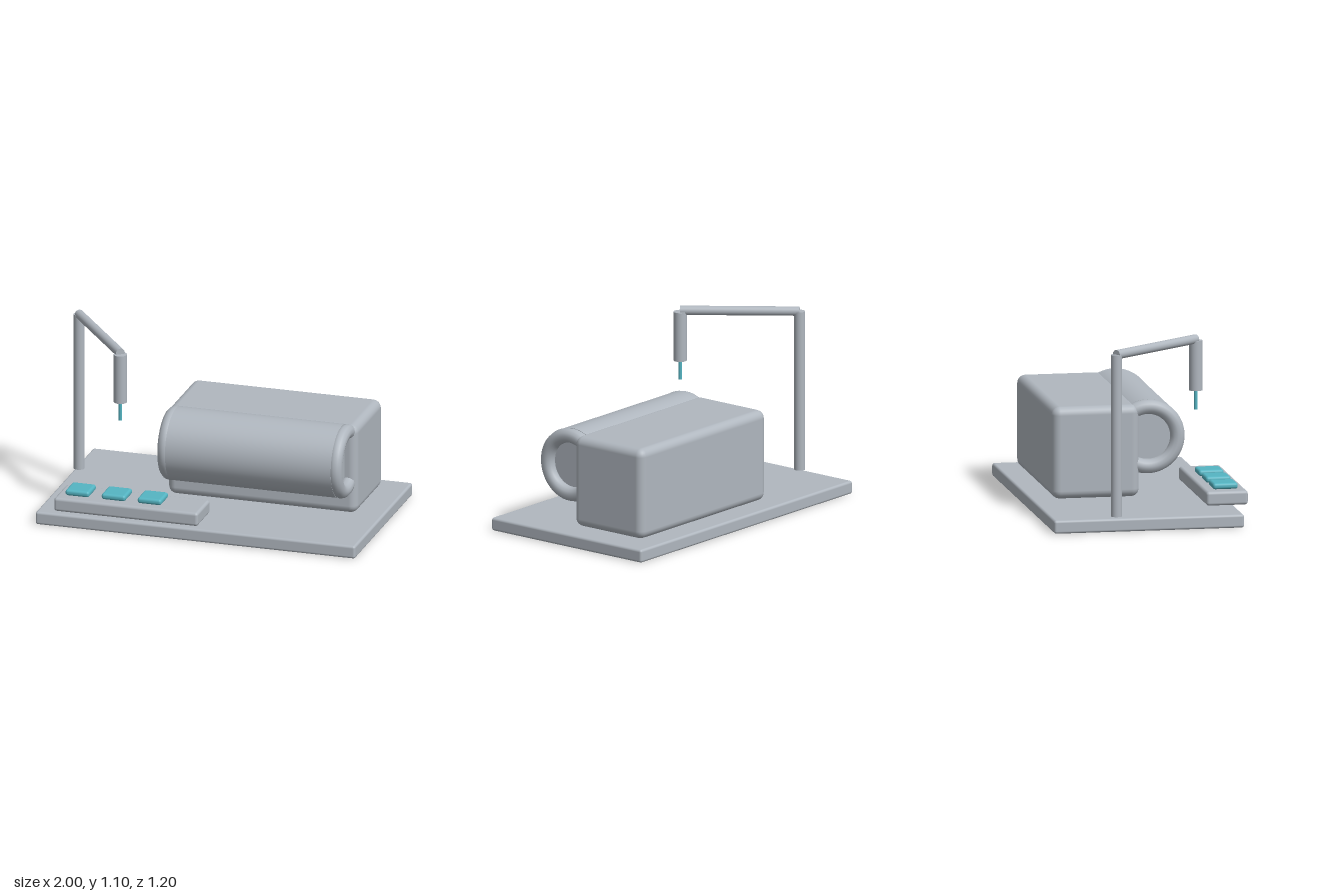
import * as THREE from 'three';
import { RoundedBoxGeometry } from 'three/addons/geometries/RoundedBoxGeometry.js';

export function createModel() {
  const model = new THREE.Group();
  model.name = 'benchMachine';
  const grey = new THREE.MeshStandardMaterial({ color: 0xb0b7bf });
  grey.name = 'casing grey';
  const teal = new THREE.MeshStandardMaterial({ color: 0x55b5c3 });
  teal.name = 'accent teal';

  const add = (name, geometry, material, position = [0, 0, 0]) => {
    const mesh = new THREE.Mesh(geometry, material);
    mesh.name = name;
    mesh.position.set(...position);
    model.add(mesh);
    return mesh;
  };

  // Rounded box given by its lower and upper corners
  const box = (name, lo, hi, radius, material = grey) => {
    const size = hi.map((v, i) => v - lo[i]);
    return add(name, new RoundedBoxGeometry(...size, 3, radius), material,
      hi.map((v, i) => (v + lo[i]) / 2));
  };

  // Round rod between two points
  const rod = (name, from, to, radius, material = grey, sides = 32) => {
    const a = new THREE.Vector3(...from), b = new THREE.Vector3(...to);
    const dir = b.clone().sub(a);
    const mesh = add(name, new THREE.CylinderGeometry(radius, radius, dir.length(), sides),
      material, a.clone().add(b).multiplyScalar(0.5).toArray());
    mesh.quaternion.setFromUnitVectors(new THREE.Vector3(0, 1, 0), dir.normalize());
    return mesh;
  };

  // Base and housing
  box('basePlate', [-1, 0, -0.6], [1, 0.08, 0.555], 0.015);
  box('housing', [-0.335, 0.085, -0.483], [0.85, 0.643, 0.047], 0.05);

  // Drum with a rolled rim at each end
  const drumY = 0.442, drumZ = 0.105;
  rod('drum', [-0.26, drumY, drumZ], [0.776, drumY, drumZ], 0.222, grey, 64);
  for (const [name, x] of [['rightRim', -0.276], ['leftRim', 0.792]]) {
    const rim = add(name, new THREE.TorusGeometry(0.18, 0.044, 12, 64), grey, [x, drumY, drumZ]);
    rim.rotation.y = Math.PI / 2;
  }

  // Control panel with three keys
  box('controlPanel', [-0.87, 0.115, 0.35], [0.03, 0.2, 0.603], 0.018);
  [-0.74, -0.514, -0.289].forEach((x, i) =>
    box(`key${i + 1}`, [x - 0.075, 0.203, 0.4], [x + 0.075, 0.24, 0.552], 0.016, teal));

  // Post, swing arm, head and needle
  rod('post', [-0.967, 0.09, -0.217], [-0.967, 1.07, -0.217], 0.033);
  rod('swingArm', [-0.967, 1.07, -0.217], [-0.532, 1.07, 0.348], 0.028);
  rod('head', [-0.532, 0.76, 0.348], [-0.532, 1.062, 0.348], 0.04);
  rod('needle', [-0.532, 0.643, 0.348], [-0.532, 0.765, 0.348], 0.011, teal, 16);

  return model;
}
